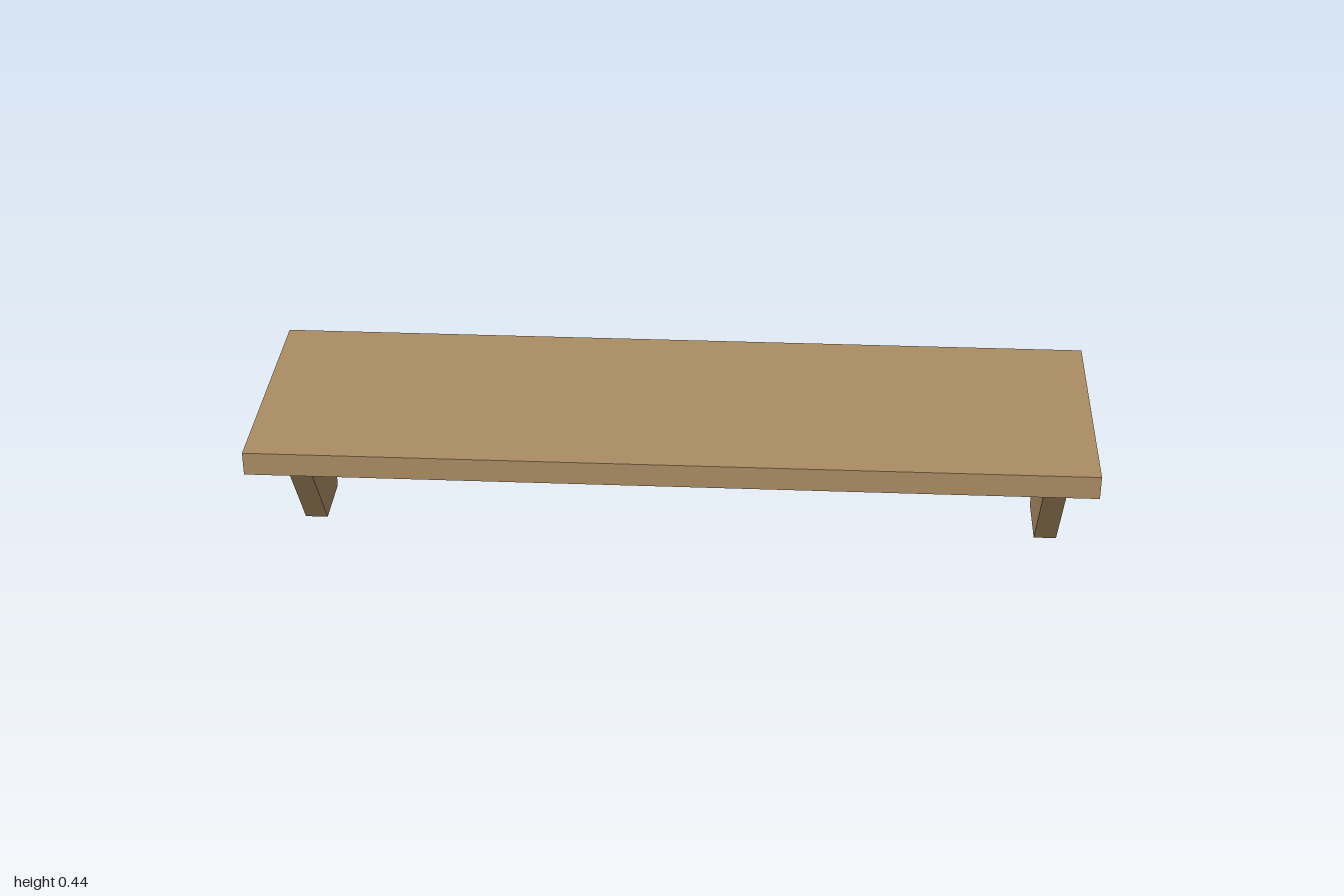
import * as THREE from 'three';

export function createModel() {
  const group = new THREE.Group();
  group.name = 'wallShelf';
  const wood = new THREE.MeshStandardMaterial({ color: 0xab8d64 });
  wood.name = 'wood';

  const boardBottom = 0.378, boardTop = 0.436;
  const thickness = 0.056, bracketX = 0.928;

  // Flat board
  const board = new THREE.Mesh(
    new THREE.BoxGeometry(2, boardTop - boardBottom, 0.616), wood);
  board.name = 'shelfBoard';
  board.position.y = (boardTop + boardBottom) / 2;
  group.add(board);

  // Bracket profile (z, y): upright back edge, sloping front edge
  const profile = new THREE.Shape([
    [-0.27, 0], [-0.115, 0], [0.143, boardBottom], [-0.27, boardBottom],
  ].map(([z, y]) => new THREE.Vector2(z, y)));
  const bracketGeometry = new THREE.ExtrudeGeometry(profile, { depth: thickness, bevelEnabled: false });
  bracketGeometry.translate(0, 0, -thickness / 2);
  bracketGeometry.rotateY(-Math.PI / 2);

  // One bracket near each end
  for (const [name, side] of [['leftBracket', 1], ['rightBracket', -1]]) {
    const bracket = new THREE.Mesh(bracketGeometry, wood);
    bracket.name = name;
    bracket.position.x = side * bracketX;
    group.add(bracket);
  }
  return group;
}
